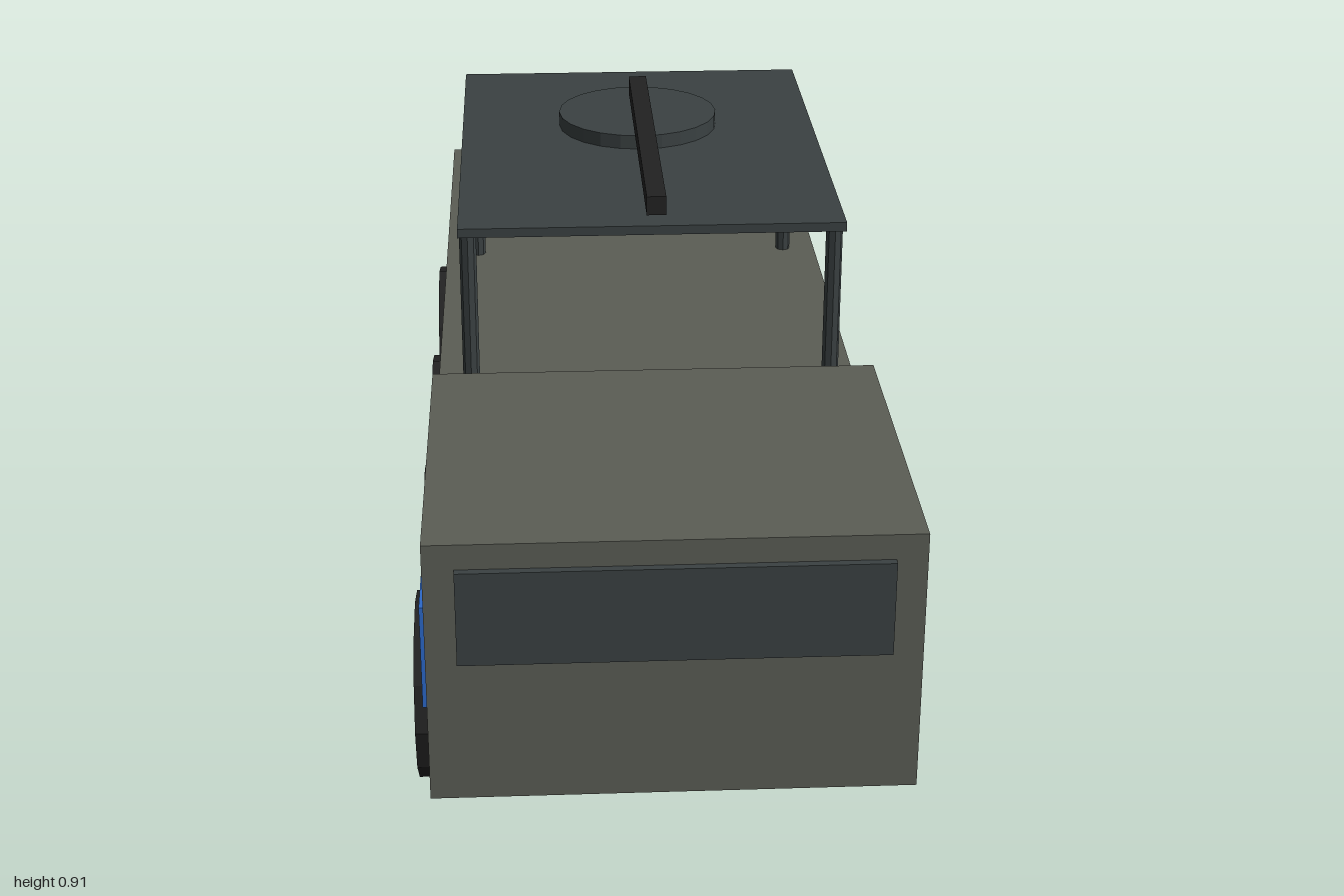
import * as THREE from 'three';

const material = (name, color) => {
  const m = new THREE.MeshStandardMaterial({ color, flatShading: true });
  m.name = name;
  return m;
};

export function createModel() {
  const paint = material('olive grey paint', 0x5b5d55);
  const slate = material('dark slate', 0x3a4142);
  const black = material('black rubber', 0x222222);
  const blue = material('blue panel', 0x2c69cb);

  const model = new THREE.Group();
  model.name = 'truck';

  const add = (name, geometry, mat, x, y, z) => {
    const mesh = new THREE.Mesh(geometry, mat);
    mesh.name = name;
    mesh.position.set(x, y, z);
    model.add(mesh);
    return mesh;
  };
  // Box given by its lower and upper limits on each axis
  const box = (name, mat, [x0, x1], [y0, y1], [z0, z1]) =>
    add(name, new THREE.BoxGeometry(x1 - x0, y1 - y0, z1 - z0), mat,
      (x0 + x1) / 2, (y0 + y1) / 2, (z0 + z1) / 2);

  // Hull: cab in front, long bed behind a narrow gap
  box('cab', paint, [-0.353, 0.353], [0.177, 0.591], [0.418, 0.988]);
  box('bed', paint, [-0.353, 0.353], [0.177, 0.477], [-1, 0.38]);
  box('windscreen', slate, [-0.308, 0.308], [0.405, 0.552], [0.98, 1]);

  // Raised platform with turntable and floating barrel
  box('platform', slate, [-0.308, 0.308], [0.806, 0.821], [-0.436, 0.377]);
  add('turntable', new THREE.CylinderGeometry(0.138, 0.138, 0.026, 24), slate, 0, 0.832, -0.13);
  box('barrel', black, [-0.015, 0.015], [0.878, 0.908], [-0.13, 0.48]);

  const post = new THREE.CylinderGeometry(0.0135, 0.0135, 0.34, 8);
  const wheel = new THREE.CylinderGeometry(0.147, 0.147, 0.123, 12).rotateZ(Math.PI / 2);

  for (const [side, s] of [['left', 1], ['right', -1]]) {
    // Door panels
    add(side + 'DoorPanel', new THREE.BoxGeometry(0.02, 0.168, 0.342), blue, s * 0.355, 0.345, 0.706);
    // Platform posts
    for (const z of [0.342, -0.392]) add(side + 'Post', post, slate, s * 0.293, 0.637, z);
    // Four wheels per side
    for (let i = 0; i < 4; i++) add(side + 'Wheel', wheel, black, s * 0.323, 0.147, 0.625 - i * 0.46);
  }
  return model;
}
